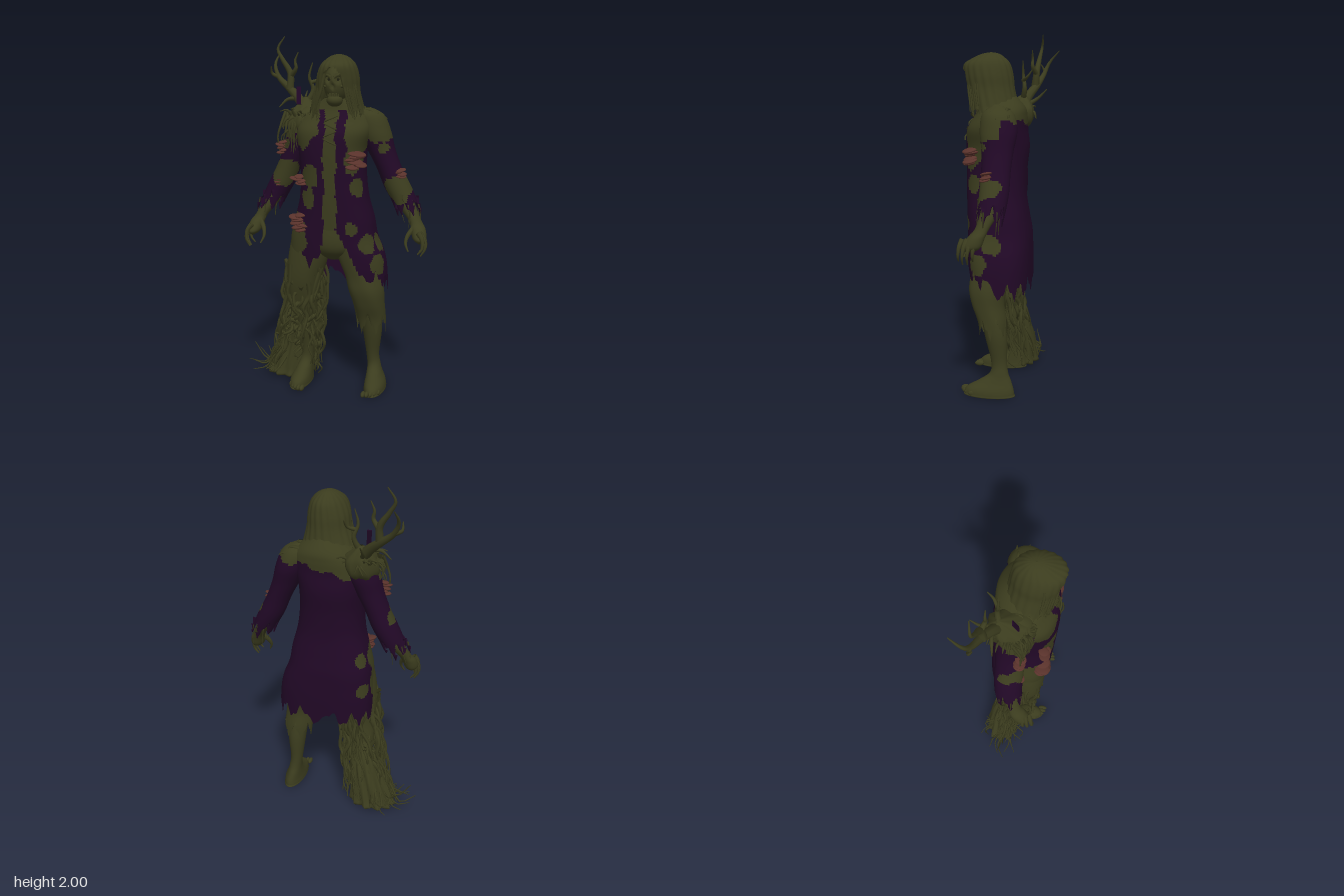
import * as THREE from 'three';

const D = THREE.DoubleSide;
const mat = (name, color, side = THREE.FrontSide) => Object.assign(new THREE.MeshStandardMaterial({ color, side }), { name });

export function createModel() {
  const root = new THREE.Group();
  root.name = 'swampWalker';
  const moss = mat('moss', 0x3b3c1e, D), cloth = mat('purpleCloth', 0x210826, D);
  const fungus = mat('fungus', 0x59322b), hollow = mat('hollow', 0x1c1d10);

  let seed = 7;
  const rnd = () => (seed = (seed * 16807) % 2147483647) / 2147483647;
  const jit = (s) => (rnd() - 0.5) * 2 * s;
  const wob = (x, y, z) => Math.sin(x * 37 + y * 23) * 0.5 + Math.sin(y * 61 - z * 41 + 1) * 0.3 + Math.sin(x * 91 + z * 77) * 0.2;
  const tooth = (a, k) => Math.abs((((a * k) % 1) + 1) % 1 - 0.5) * 2;
  const inPatch = (list, x, y, z) => list.some(([px, py, pz, r]) => Math.hypot(x - px, y - py, z - pz) < r + wob(x, y, z) * 0.022);
  const add = (name, geo, m, parent = root) => {
    const mesh = new THREE.Mesh(geo, m);
    mesh.name = name;
    parent.add(mesh);
    return mesh;
  };

  // Smooth surface through level oval rows [y, cx, cz, rx, rz, squareness]; paint picks 0 moss, 1 cloth, -1 hole; hem gives a torn lower edge
  function loft(name, rows, { paint = () => 0, hem = () => -1, seg = 28, sub = 6, ridge = 0, waves = 13 } = {}) {
    const cr = (a, b, c, d, t) => 0.5 * (2 * b + (c - a) * t + (2 * a - 5 * b + 4 * c - d) * t * t + (3 * b - a - 3 * c + d) * t ** 3);
    const n = (rows.length - 1) * sub, pos = [], cut = [], buckets = [[], []];
    for (let i = 0; i <= n; i++) {
      const k = Math.min(Math.floor(i / sub), rows.length - 2), t = i / sub - k;
      const at = (o) => rows[Math.min(Math.max(k + o, 0), rows.length - 1)];
      const [y, cx, cz, rx, rz, p = 2] = rows[0].map((_, q) => cr(at(-1)[q], at(0)[q], at(1)[q], at(2)[q], t));
      const bend = (v) => Math.sign(v) * Math.abs(v) ** (2 / p);
      for (let j = 0; j < seg; j++) {
        const a = (j / seg) * Math.PI * 2, f = 1 + ridge * Math.sin(a * waves + y * 9);
        const x = cx + Math.max(rx, 0.001) * f * bend(Math.sin(a)), z = cz + Math.max(rz, 0.001) * f * bend(Math.cos(a));
        const edge = hem(a, x, z);
        cut.push(y < edge);
        pos.push(x, Math.max(y, edge, 0), z);
      }
    }
    for (let i = 0; i < n; i++) for (let j = 0; j < seg; j++) {
      const j2 = (j + 1) % seg, q = [i * seg + j, (i + 1) * seg + j, (i + 1) * seg + j2, i * seg + j2];
      if (q.every((v) => cut[v])) continue;
      const mid = [0, 1, 2].map((c) => q.reduce((s, v) => s + pos[v * 3 + c], 0) / 4);
      const m = paint(...mid);
      if (m >= 0) buckets[m].push(q[0], q[1], q[3], q[1], q[2], q[3]);
    }
    const g = new THREE.BufferGeometry();
    g.setAttribute('position', new THREE.Float32BufferAttribute(pos, 3));
    g.setIndex(buckets.flat());
    g.addGroup(0, buckets[0].length, 0);
    g.addGroup(buckets[0].length, buckets[1].length, 1);
    g.computeVertexNormals();
    return add(name, g, [moss, cloth]);
  }

  // Tapering tube for roots, branches, fingers and strands
  function taper(name, pts, r0, r1, parent = root, n = 14, rs = 6) {
    const curve = new THREE.CatmullRomCurve3(pts.map((p) => new THREE.Vector3(...p)));
    const g = new THREE.TubeGeometry(curve, n, r0, rs), P = g.attributes.position, v = new THREE.Vector3();
    for (let i = 0; i < P.count; i++) {
      const t = Math.floor(i / (rs + 1)) / n, c = curve.getPointAt(t);
      v.fromBufferAttribute(P, i).sub(c).multiplyScalar(THREE.MathUtils.lerp(1, r1 / r0, t)).add(c);
      P.setXYZ(i, v.x, Math.max(v.y, 0), v.z);
    }
    return add(name, g, moss, parent);
  }
  const ball = (name, m, x, y, z, sx, sy, sz) => {
    const b = add(name, new THREE.SphereGeometry(1, 20, 14), m);
    b.position.set(x, y, z);
    b.scale.set(sx, sy, sz);
    return b;
  };

  // Long coat: open skirt, torn hem, moss patches
  const coatMoss = [[0.16, 1.47, 0.15, 0.1], [0.15, 1.34, 0.17, 0.07], [-0.12, 1.48, 0.17, 0.085], [-0.1, 1.24, 0.2, 0.06],
    [-0.09, 1.13, 0.2, 0.05], [-0.18, 0.92, 0.12, 0.12], [-0.22, 0.82, 0.1, 0.11], [0.17, 1.19, 0.17, 0.04],
    [0.21, 0.88, 0.14, 0.055], [0.26, 0.87, 0.05, 0.07], [0.14, 0.96, 0.2, 0.03], [0.27, 0.76, 0.12, 0.05],
    [-0.22, 0.8, -0.08, 0.05], [-0.2, 0.98, -0.05, 0.04]];
  loft('coat', [[1.66, 0.035, 0.05, 0.08, 0.1, 2], [1.6, 0.03, 0.03, 0.155, 0.13, 2], [1.55, 0.02, 0.035, 0.2, 0.145, 2.1], [1.48, 0.01, 0.055, 0.21, 0.165, 2.3],
    [1.38, 0, 0.055, 0.19, 0.175, 2.3], [1.25, 0.005, 0.06, 0.182, 0.168, 2.3], [1.12, 0.01, 0.06, 0.192, 0.165, 2.4], [1, 0.01, 0.05, 0.222, 0.17, 2.5],
    [0.9, 0.005, 0.04, 0.242, 0.175, 2.7], [0.8, 0.02, 0.035, 0.265, 0.175, 2.8], [0.7, 0.025, 0.03, 0.277, 0.172, 2.8], [0.52, 0.03, 0.02, 0.28, 0.16, 2.6]], {
    seg: 128, sub: 9,
    hem: (a, x, z) => 0.55 + 0.09 * tooth(a, 2.1) + 0.04 * tooth(a, 5.3) + THREE.MathUtils.smoothstep(z, 0, 0.12) * (x < 0 ? 0.17 : 0.06),
    paint: (x, y, z) => {
      const front = z > 0.06, low = 0.95 - y, w = wob(x, y, z);
      if (front && low > 0 && x > -0.02 - low * 0.1 && x < 0.06 + low * 0.5) return -1;
      if (front && x > -0.012 + w * 0.01 && x < 0.055 + w * 0.014) return 0;
      if (front && y < 1.6 && y > 0.78 && ((x > 0 && x < 0.098 + w * 0.012) || (x < 0 && x > -0.052 + w * 0.012))) return 1;
      if (y > (z < 0 ? 1.5 + x * 0.25 : 1.51) + w * 0.025) return 0;
      return inPatch(coatMoss, x, y, z) ? 0 : 1;
    },
  });
  for (let i = 0; i < 4; i++) { // shirt laces
    const y = 1.42 + i * 0.04, s = i % 2 ? 1 : -1, z = 0.232 - i * 0.012;
    taper('shirtLace', [[0.022 - s * 0.035, y, z], [0.022, y + 0.015, z + 0.006], [0.022 + s * 0.035, y + 0.03, z - 0.005]], 0.005, 0.004);
  }
  loft('hips', [[1, 0.01, 0.04, 0.18, 0.13], [0.88, 0.01, 0.045, 0.19, 0.14], [0.81, 0.01, 0.045, 0.15, 0.12], [0.76, 0.01, 0.04, 0.04, 0.06]]);

  // Arms, sleeves and clawed hands
  const sleeveMoss = { 1: [[0.38, 1.18, 0.06, 0.08], [0.28, 1.39, 0.08, 0.035], [0.42, 1.2, 0, 0.05]], [-1]: [[0.33, 1.25, 0.06, 0.08], [0.38, 1.24, 0, 0.05], [0.3, 1.4, 0.07, 0.03]] };
  for (const s of [1, -1]) {
    const side = s > 0 ? 'left' : 'right', mx = (x) => s * x + (s < 0 ? 0.04 : 0), map = (p) => [mx(p[0]), p[1], p[2]];
    const rowsOf = (r) => r.map(([y, x, ...k]) => [y, mx(x), ...k]);
    loft(side + 'Sleeve', rowsOf([[1.61, 0.18, 0.025, 0.02, 0.03], [1.57, 0.19, 0.02, 0.085, 0.085], [1.48, 0.222, 0.012, 0.092, 0.1],
      [1.38, 0.262, 0.01, 0.077, 0.085], [1.28, 0.308, 0.01, 0.07, 0.078], [1.18, 0.355, 0.01, 0.075, 0.078], [1.1, 0.395, 0.015, 0.07, 0.075], [0.99, 0.44, 0.03, 0.066, 0.072]]), {
      seg: 64, sub: 8,
      hem: (a) => 1.005 + 0.1 * tooth(a, 1.11) + 0.04 * tooth(a, 2.7),
      paint: (x, y, z) => {
        if (y > (z < -0.01 ? 1.52 : s > 0 ? 1.43 : 1.46) + wob(x, y, z) * 0.03) return 0;
        return inPatch(sleeveMoss[s], s * (x - (s < 0 ? 0.04 : 0)), y, z) ? 0 : 1;
      },
    });
    loft(side + 'Forearm', rowsOf([[1.2, 0.345, 0.01, 0.05, 0.05], [1.08, 0.41, 0.025, 0.047, 0.047], [1, 0.462, 0.055, 0.035, 0.037],
      [0.96, 0.483, 0.08, 0.04, 0.045], [0.91, 0.495, 0.105, 0.036, 0.05], [0.885, 0.497, 0.115, 0.005, 0.02]]), { seg: 20 });
    const hand = new THREE.Group();
    hand.name = side + 'Fingers';
    root.add(hand);
    for (let i = 0; i < 4; i++) {
      const z = 0.075 + i * 0.025, d = Math.abs(i - 1.5) * 0.014;
      taper('finger', [[0.495, 0.95, z], [0.525 - d * 0.4, 0.915, z + 0.012], [0.538 - d, 0.865, z + 0.02], [0.515 - d, 0.815 + d, z + 0.022]].map(map), 0.016, 0.004, hand);
    }
    taper('thumb', [[0.465, 0.97, 0.09], [0.432, 0.925, 0.12], [0.425, 0.885, 0.14], [0.442, 0.845, 0.155]].map(map), 0.018, 0.004, hand);
    for (let i = 0; i < 5; i++) { // threads at the cuff
      const a = i * 1.25, x = 0.425 + Math.sin(a) * 0.055, z = 0.025 + Math.cos(a) * 0.06, y = 1.09;
      taper('cuffThread', [[x, y, z], [x + 0.012, y - 0.05, z], [x + 0.02 + jit(0.015), y - 0.1 - rnd() * 0.04, z + jit(0.01)]].map(map), 0.005, 0.001, root, 6, 4);
    }
    for (let i = 0; i < 9; i++) { // ragged moss on the shoulder
      const a = rnd() * 3, x = 0.19 + rnd() * 0.07, y = 1.6 - (x - 0.19) * 0.8, z = 0.025 + Math.cos(a) * 0.07;
      taper('shoulderMoss', [[x - 0.04, y - 0.01, z], [x + 0.01, y, z * 1.1], [x + 0.04, y - 0.02 + jit(0.025), z * 1.2]].map(map), 0.02, 0.002, root, 6, 5);
    }
  }

  // Head: skull with sunken eyes and nose
  const skullGeo = new THREE.SphereGeometry(1, 40, 30), S = skullGeo.attributes.position, v = new THREE.Vector3();
  const dents = [[0.4, 0.27, 0.87, 0.26], [-0.4, 0.27, 0.87, 0.26], [0, -0.1, 0.99, 0.17]];
  for (let i = 0; i < S.count; i++) {
    v.fromBufferAttribute(S, i);
    let k = 1;
    for (const [x, y, z, r] of dents) k = Math.min(k, 1 - 0.22 * Math.max(0, 1 - (Math.hypot(v.x - x, v.y - y, v.z - z) / r) ** 2));
    S.setXYZ(i, v.x * k, v.y * k, v.z * k);
  }
  skullGeo.computeVertexNormals();
  const skull = add('skull', skullGeo, moss);
  skull.position.set(0.035, 1.735, 0.125);
  skull.scale.set(0.066, 0.1, 0.09);
  ball('jaw', moss, 0.035, 1.65, 0.162, 0.043, 0.033, 0.047);
  for (const s of [-1, 1]) {
    ball('eyeHollow', hollow, 0.035 + s * 0.023, 1.759, 0.186, 0.011, 0.009, 0.004);
    ball('cheekbone', moss, 0.035 + s * 0.038, 1.724, 0.183, 0.017, 0.01, 0.014);
    taper('brow', [[0.035 + s * 0.008, 1.77, 0.21], [0.035 + s * 0.028, 1.782, 0.202], [0.035 + s * 0.05, 1.772, 0.18]], 0.009, 0.005);
  }
  for (let i = -3; i <= 3; i++) {
    const t = add('tooth', new THREE.BoxGeometry(0.007, 0.018, 0.012), moss);
    t.position.set(0.035 + i * 0.009, 1.68, 0.203 - i * i * 0.0018);
  }

  // Matted hair falling over the shoulders, parted round the face
  loft('hair', [[1.894, 0.04, 0.085, 0.002, 0.002], [1.886, 0.04, 0.088, 0.035, 0.045], [1.865, 0.042, 0.096, 0.068, 0.085], [1.83, 0.042, 0.107, 0.095, 0.126], [1.77, 0.038, 0.1, 0.113, 0.134],
    [1.7, 0.035, 0.09, 0.12, 0.132], [1.62, 0.03, 0.075, 0.142, 0.135], [1.53, 0.025, 0.055, 0.17, 0.15]], {
    seg: 84, sub: 8, ridge: 0.022, waves: 19,
    hem: (a) => 1.545 + 0.05 * tooth(a, 2.07) + 0.025 * tooth(a, 4.6),
    paint: (x, y, z) => {
      const w = y > 1.76 ? 0.06 * Math.sqrt(Math.max(0, (1.825 - y) / 0.065)) : 0.06 + (1.76 - y) * 0.1;
      return z > 0.11 && Math.abs(x - 0.035) < w ? -1 : 0;
    },
  });
  for (const s of [-1, 1]) for (let i = 0; i < 6; i++) {
    const x = 0.066 + i * 0.009, z = 0.2 - i * 0.012;
    taper('hairLock', [[0.035 + s * (x - 0.02), 1.79, z], [0.035 + s * x, 1.7, z], [0.03 + s * (x + 0.02), 1.62, z - 0.01], [0.03 + s * (x + 0.025 + jit(0.015)), 1.56 + jit(0.02), z - 0.015]], 0.011, 0.002);
  }

  // Branches growing from the right shoulder
  loft('shoulderGrowth', [[1.66, -0.19, -0.06, 0.01, 0.01], [1.62, -0.18, -0.04, 0.05, 0.06], [1.57, -0.17, -0.01, 0.09, 0.11], [1.5, -0.18, 0.005, 0.09, 0.112], [1.44, -0.2, 0.01, 0.04, 0.05]], { ridge: 0.08, waves: 7 });
  const scrap = add('clothScrap', new THREE.BoxGeometry(0.025, 0.1, 0.006), cloth);
  scrap.position.set(-0.205, 1.67, 0.03);
  scrap.rotation.set(-0.3, 0.2, 0.1);
  const branches = [
    [0.036, [-0.17, 1.56, -0.04], [-0.24, 1.65, -0.08], [-0.31, 1.71, -0.12], [-0.38, 1.77, -0.15], [-0.41, 1.84, -0.18], [-0.4, 1.91, -0.24]],
    [0.024, [-0.3, 1.7, -0.11], [-0.3, 1.79, -0.12], [-0.35, 1.87, -0.13], [-0.38, 1.93, -0.14], [-0.34, 2, -0.15]],
    [0.017, [-0.3, 1.77, -0.12], [-0.26, 1.82, -0.1], [-0.265, 1.86, -0.1], [-0.245, 1.91, -0.1]],
    [0.02, [-0.2, 1.6, -0.05], [-0.15, 1.7, -0.07], [-0.17, 1.77, -0.06], [-0.15, 1.85, -0.06]],
    [0.012, [-0.16, 1.74, -0.06], [-0.12, 1.76, -0.09], [-0.11, 1.8, -0.12]],
    [0.014, [-0.38, 1.77, -0.15], [-0.42, 1.79, -0.15], [-0.42, 1.83, -0.13]],
    [0.015, [-0.24, 1.65, -0.08], [-0.3, 1.645, -0.07], [-0.35, 1.6, -0.06]],
    [0.015, [-0.2, 1.6, -0.08], [-0.22, 1.64, -0.14], [-0.22, 1.69, -0.19]],
  ];
  branches.forEach(([r, ...pts]) => taper('branch', pts, r, 0.003, root, 20, 8));
  for (let i = 0; i < 26; i++) {
    const a = rnd() * 6.28, x = -0.18 + Math.cos(a) * 0.07, z = Math.sin(a) * 0.09, up = jit(0.07);
    taper('twig', [[x, 1.56, z], [x + Math.cos(a) * 0.04, 1.56 + up * 0.6, z + Math.sin(a) * 0.03], [x + Math.cos(a) * 0.06 + jit(0.03), 1.53 + up, z + Math.sin(a) * 0.04]], 0.012, 0.002, root, 8, 5);
  }
  for (let i = 0; i < 9; i++) { // vines hanging down the sleeve
    const x = -0.17 - i * 0.014, z = 0.12 - i * 0.006;
    taper('sleeveVine', [[x, 1.58, z - 0.04], [x + jit(0.02), 1.5, z], [x - 0.02 + jit(0.02), 1.44, z], [x - 0.02, 1.37 + jit(0.04), z - 0.005]], 0.01, 0.002, root, 10, 5);
  }

  // Legs, torn trousers and bare feet
  const torn = { seg: 64, ridge: 0.02, waves: 5, hem: (a) => 0.33 + 0.1 * tooth(a, 0.96) + 0.035 * tooth(a, 2.9) };
  loft('leftTrouserLeg', [[0.95, 0.11, 0.045, 0.1, 0.11], [0.8, 0.135, 0.06, 0.108, 0.11], [0.68, 0.175, 0.07, 0.1, 0.108], [0.6, 0.195, 0.08, 0.1, 0.103], [0.52, 0.21, 0.075, 0.09, 0.09],
    [0.42, 0.22, 0.05, 0.085, 0.08], [0.3, 0.225, 0.045, 0.08, 0.076]], torn);
  loft('rightTrouserLeg', [[0.95, -0.11, 0.045, 0.11, 0.13], [0.8, -0.135, 0.07, 0.115, 0.12], [0.65, -0.165, 0.075, 0.1, 0.11], [0.52, -0.175, 0.065, 0.085, 0.09],
    [0.42, -0.18, 0.045, 0.08, 0.08], [0.28, -0.185, 0.04, 0.075, 0.076]], torn);
  for (const [side, dx, out] of [['left', 0.225, 1], ['right', -0.165, -1]]) {
    loft(side + 'ShinAndFoot', [[0.5, dx - out * 0.01, 0.06, 0.06, 0.06], [0.35, dx, 0.03, 0.055, 0.062], [0.2, dx, 0.012, 0.037, 0.045], [0.13, dx + out * 0.008, 0.01, 0.038, 0.052],
      [0.085, dx + out * 0.015, 0.03, 0.045, 0.09], [0.045, dx + out * 0.023, 0.058, 0.056, 0.132], [0.015, dx + out * 0.025, 0.063, 0.06, 0.142], [0, dx + out * 0.025, 0.063, 0.055, 0.135], [0, dx + out * 0.025, 0.063, 0, 0]]);
    for (let i = 0; i < 5; i++) ball(side + 'Toe', moss, dx + out * (-0.016 + i * 0.02), 0.018, 0.205 - i * i * 0.0035, 0.013 - i * 0.001, 0.016, 0.028);
  }

  // Roots wrapping the right leg and spreading on the ground
  loft('rootMass', [[0.42, -0.2, 0, 0.03, 0.03], [0.33, -0.22, -0.015, 0.07, 0.06], [0.2, -0.25, -0.035, 0.095, 0.075], [0.06, -0.28, -0.04, 0.12, 0.09], [0.01, -0.29, -0.04, 0.12, 0.09], [0, -0.29, -0.04, 0, 0]], { seg: 44, ridge: 0.14, waves: 11 });
  for (let i = 0; i < 62; i++) {
    const a = (i / 62) * 6.283 * 5, c = Math.cos(a), s = Math.sin(a), top = 0.35 + rnd() * 0.42, end = s > 0.3 ? 0.1 + rnd() * 0.25 : 0.02 + rnd() * 0.08, pts = [];
    for (let k = 0; k <= 7; k++) {
      const t = k / 7, y = top + (end - top) * t, low = 1 - y / 0.85, e = low * low;
      pts.push([-0.155 - 0.12 * e + c * (0.1 + 0.055 * e) + jit(0.028), y + jit(0.012), 0.07 - 0.09 * e + s * (0.1 + 0.015 * e) + jit(0.022)]);
    }
    taper('legRoot', pts, 0.008 + rnd() * 0.009, 0.003, root, 24, 5);
  }
  for (let i = 0; i < 20; i++) {
    const a = 1.9 + (i / 20) * 3, c = Math.cos(a), s = Math.sin(a), l = 0.6 + rnd() * 0.5;
    taper('groundRoot', [[-0.25, 0.22 + rnd() * 0.1, -0.02], [-0.29 + c * 0.1, 0.11 + jit(0.03), -0.02 + s * 0.08], [-0.3 + c * 0.15 * l, 0.03 + rnd() * 0.06, -0.03 + s * 0.11 * l + jit(0.03)], [-0.31 + c * 0.22 * l, 0.02 + rnd() * rnd() * 0.24, -0.03 + s * 0.13 * l + jit(0.03)]], 0.014, 0.002, root, 12, 5);
  }

  // Bracket fungus: stacked flat caps [x, y, z, radius, count, spread, rise]
  const clusters = [[0.16, 1.335, 0.17, 0.047, 6, 0.035, 0.035], [-0.165, 0.985, 0.165, 0.048, 7, 0.03, 0.04], [-0.165, 1.22, 0.17, 0.034, 4, 0.02, 0.018],
    [-0.29, 1.385, 0.06, 0.034, 5, 0.02, 0.03], [0.375, 1.258, 0.045, 0.036, 4, 0.018, 0.015], [-0.31, 1.19, 0.065, 0.022, 3, 0.012, 0.014]];
  for (const [x, y, z, r, n, w, h] of clusters) for (let i = 0; i < n; i++) {
    const cap = ball('fungusCap', fungus, x + jit(w), y - h + (2 * h * i) / (n - 1), z + rnd() * 0.015, r * (0.75 + rnd() * 0.4), r * 0.24, r * 0.9);
    cap.rotation.set(0.15 + jit(0.1), 0, jit(0.25));
  }
  return root;
}
